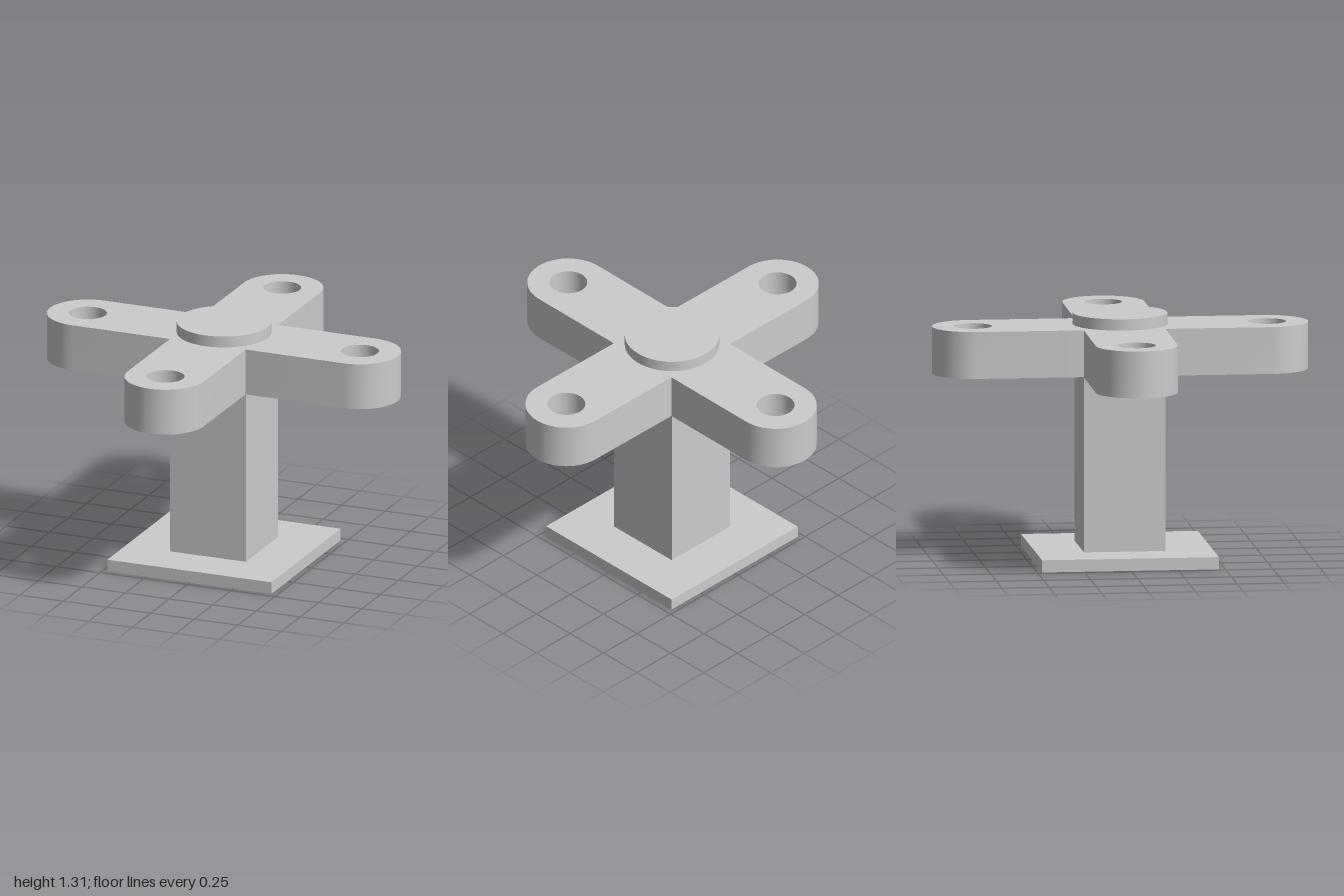
import * as THREE from 'three';
import { toCreasedNormals } from 'three/addons/utils/BufferGeometryUtils.js';

const HALF = 0.217;        // half width of column and arms
const REACH = 0.781;       // distance of the hole centres
const ARM_Y0 = 1.0, ARM_Y1 = 1.25;
const ARC_STEPS = 32;

export function createModel() {
  const material = new THREE.MeshStandardMaterial({ color: 0xcccccc });
  const model = new THREE.Group();

  function add(parent, name, geometry, x = 0, y = 0, z = 0) {
    const mesh = new THREE.Mesh(geometry, material);
    mesh.name = name;
    mesh.position.set(x, y, z);
    parent.add(mesh);
    return mesh;
  }

  // Base plate, square column and round cap
  const body = new THREE.Group();
  body.name = 'body';
  body.position.set(-0.003, 0, -0.004);
  model.add(body);
  add(body, 'basePlate', new THREE.BoxGeometry(0.94, 0.065, 0.94), 0, 0.0325, 0);
  add(body, 'column', new THREE.BoxGeometry(HALF * 2, ARM_Y0 - 0.065, HALF * 2), 0, (ARM_Y0 + 0.065) / 2, 0);
  const cap = new THREE.CylinderGeometry(0.25, 0.25, 0.06, 64);
  add(body, 'cap', toCreasedNormals(cap, 0.6), 0, ARM_Y1 + 0.03, 0);

  // Cross of four round-ended arms, turned very slightly on the column
  const cross = new THREE.Group();
  cross.name = 'armCross';
  cross.rotation.y = -0.006;
  body.add(cross);

  const centre = new THREE.Vector2();
  const outline = [];
  const holeCentres = [];
  for (let k = 0; k < 4; k++) {
    const turn = k * Math.PI / 2;
    for (let i = 0; i <= ARC_STEPS; i++) {
      const a = -Math.PI / 2 + Math.PI * i / ARC_STEPS;
      const p = new THREE.Vector2(REACH + HALF * Math.cos(a), HALF * Math.sin(a));
      outline.push(p.rotateAround(centre, turn));
    }
    outline.push(new THREE.Vector2(HALF, HALF).rotateAround(centre, turn));
    holeCentres.push(new THREE.Vector2(REACH, 0).rotateAround(centre, turn));
  }

  // Flat face of the cross with four holes of the given radius
  function face(holeRadius) {
    const shape = new THREE.Shape(outline);
    for (const c of holeCentres) {
      const hole = new THREE.Path();
      hole.absarc(c.x, c.y, holeRadius, 0, Math.PI * 2, true);
      shape.holes.push(hole);
    }
    return new THREE.ShapeGeometry(shape, 24);
  }
  add(cross, 'armTop', face(0.1).rotateX(-Math.PI / 2), 0, ARM_Y1, 0);
  add(cross, 'armUnderside', face(0.16).rotateX(Math.PI / 2), 0, ARM_Y0, 0);

  // Side wall following the outline
  const wall = [];
  outline.forEach((a, i) => {
    const b = outline[(i + 1) % outline.length];
    const a0 = [a.x, ARM_Y0, -a.y], a1 = [a.x, ARM_Y1, -a.y];
    const b0 = [b.x, ARM_Y0, -b.y], b1 = [b.x, ARM_Y1, -b.y];
    wall.push(...a0, ...b0, ...b1, ...a0, ...b1, ...a1);
  });
  const wallGeometry = new THREE.BufferGeometry();
  wallGeometry.setAttribute('position', new THREE.Float32BufferAttribute(wall, 3));
  add(cross, 'armSides', toCreasedNormals(wallGeometry, 0.6));

  // Stepped bores: narrow at the top, wider below
  const ledge = (ARM_Y0 + ARM_Y1) / 2 + 0.005;
  const profile = [[0.1, ARM_Y1], [0.1, ledge], [0.16, ledge], [0.16, ARM_Y0]]
    .map(([r, y]) => new THREE.Vector2(r, y));
  const bore = toCreasedNormals(new THREE.LatheGeometry(profile, 48), 0.6);
  holeCentres.forEach((c, i) => add(cross, `steppedHole${i + 1}`, bore, c.x, 0, -c.y));

  return model;
}
